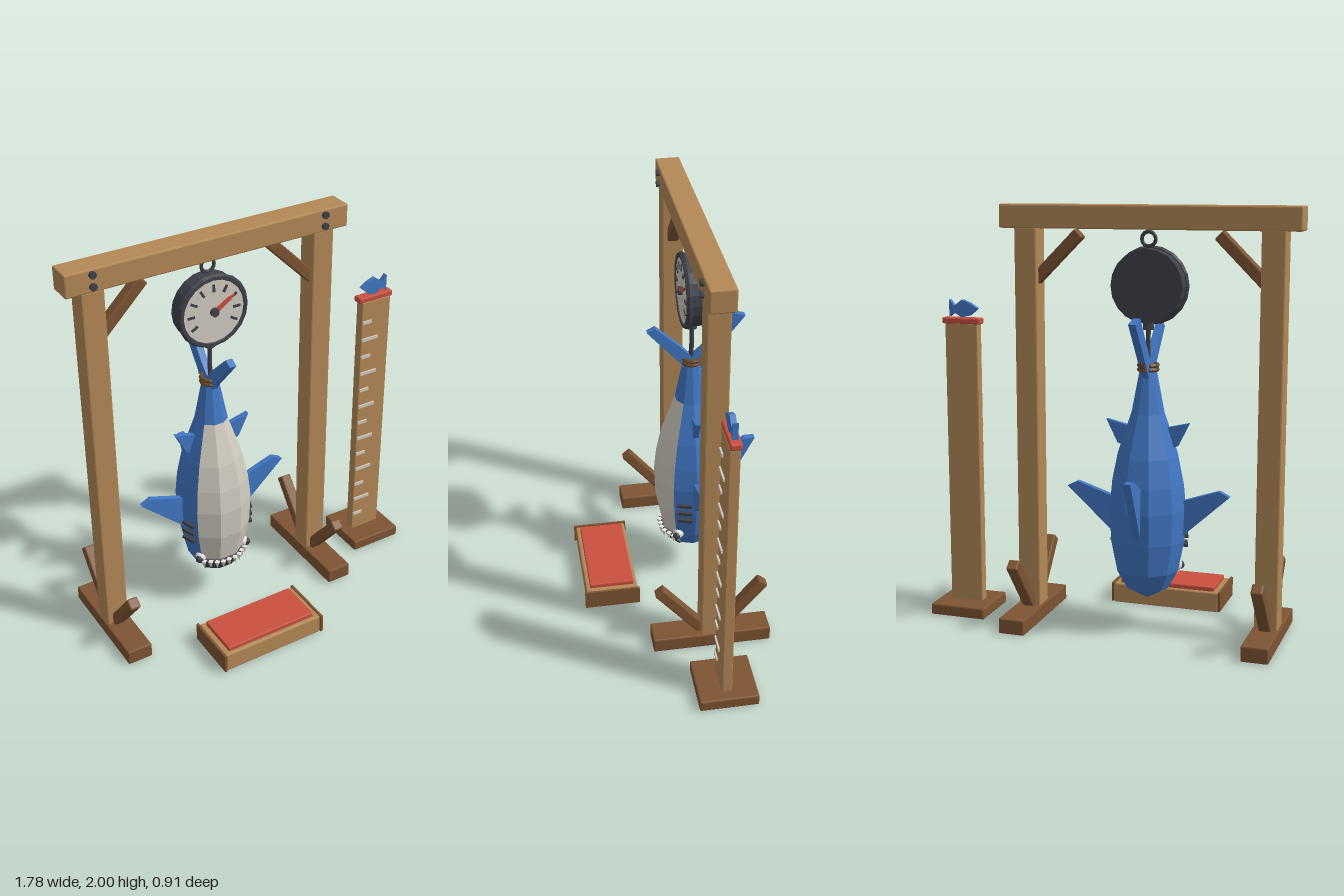
import * as THREE from 'three';
import { RoundedBoxGeometry } from 'three/addons/geometries/RoundedBoxGeometry.js';

const mat = (name, color, double = false) => {
  const m = new THREE.MeshStandardMaterial({ color, flatShading: true });
  m.name = name;
  if (double) m.side = THREE.DoubleSide;
  return m;
};

export function createModel() {
  const wood = mat('wood', 0xb38856), darkWood = mat('dark wood', 0x7d5432);
  const blue = mat('blue skin', 0x4177c4), cream = mat('cream', 0xd0cbc0);
  const dark = mat('dark metal', 0x40414a, true), red = mat('red', 0xc9503f);
  const white = mat('white', 0xf0eee6), rope = mat('rope', 0x6a4a30);

  const CX = -0.18, CZ = -0.13; // centre line of the frame and the fish
  const model = new THREE.Group();
  model.name = 'fishWeighingStand';

  const add = (name, geo, material, x = 0, y = 0, z = 0, parent = model) => {
    const m = new THREE.Mesh(geo, material);
    m.name = name;
    m.position.set(x, y, z);
    parent.add(m);
    return m;
  };
  // Box given by its limits, with a small bevel
  const box = (name, material, x0, x1, y0, y1, z0, z1, r = 0.007) => {
    const s = [x1 - x0, y1 - y0, z1 - z0];
    const geo = r ? new RoundedBoxGeometry(...s, 1, r) : new THREE.BoxGeometry(...s);
    return add(name, geo, material, (x0 + x1) / 2, (y0 + y1) / 2, (z0 + z1) / 2);
  };
  // Square bar between two points
  const bar = (name, material, a, b, t) => {
    const p = new THREE.Vector3(...a), q = new THREE.Vector3(...b);
    const d = q.clone().sub(p), mid = p.clone().add(q).multiplyScalar(0.5);
    const m = add(name, new RoundedBoxGeometry(t, d.length(), t, 1, 0.007), material, mid.x, mid.y, mid.z);
    m.quaternion.setFromUnitVectors(new THREE.Vector3(0, 1, 0), d.normalize());
    return m;
  };
  // Flat plate from an outline, centred on its thickness
  const plate = (pts, t) => {
    const shape = new THREE.Shape(pts.map(p => new THREE.Vector2(...p)));
    return new THREE.ExtrudeGeometry(shape, { depth: t, bevelEnabled: false }).translate(0, 0, -t / 2);
  };

  // Frame
  box('topBeam', wood, -0.89, 0.53, 1.89, 2, -0.19, -0.07);
  for (const s of [-1, 1]) {
    const x = CX + s * 0.583;
    box('post', wood, x - 0.055, x + 0.055, 0.05, 1.895, CZ - 0.052, CZ + 0.055);
    box('foot', darkWood, x - 0.064, x + 0.064, 0, 0.075, CZ - 0.29, CZ + 0.29);
    for (const f of [-1, 1])
      bar('footBrace', darkWood, [x, 0.05, CZ + f * 0.02], [x, 0.335, CZ + f * 0.255], 0.055);
    bar('cornerBrace', darkWood, [CX + s * 0.56, 1.64, CZ], [CX + s * 0.33, 1.87, CZ], 0.055);
    for (const y of [1.92, 1.975])
      add('bolt', new THREE.CylinderGeometry(0.017, 0.017, 0.03, 8).rotateX(Math.PI / 2), dark, x, y, -0.07);
  }

  // Dial scale
  const disc = (r, t, n = 20) => new THREE.CylinderGeometry(r, r, t, n).rotateX(Math.PI / 2);
  const DY = 1.635, FZ = -0.085;
  add('dialCase', disc(0.17, 0.08), dark, CX, DY, CZ);
  add('dialRim', new THREE.TorusGeometry(0.166, 0.016, 6, 20), dark, CX, DY, FZ - 0.005);
  add('dialFace', disc(0.155, 0.008), cream, CX, DY, FZ);
  for (let i = 0; i < 9; i++) {
    const a = (-30 + i * 30) * Math.PI / 180;
    const t = add('dialTick', new THREE.BoxGeometry(0.036, 0.011, 0.008), dark,
      CX + Math.cos(a) * 0.118, DY + Math.sin(a) * 0.118, FZ + 0.006);
    t.rotation.z = a;
  }
  const needle = add('needle', plate([[0, -0.011], [0.09, -0.009], [0.125, 0], [0.09, 0.009], [0, 0.011]], 0.008),
    red, CX, DY, FZ + 0.01);
  needle.rotation.z = 0.56;
  add('needleHub', disc(0.021, 0.025, 10), dark, CX, DY, FZ + 0.008);
  add('hangingRing', new THREE.TorusGeometry(0.033, 0.009, 6, 14), dark, CX, 1.847, CZ);
  add('hookCollar', new THREE.CylinderGeometry(0.026, 0.026, 0.03, 8), dark, CX, 1.45, CZ);
  add('hookRod', new THREE.CylinderGeometry(0.011, 0.011, 0.2, 8), dark, CX, 1.36, CZ);

  // Hanging fish, nose down
  const fish = new THREE.Group();
  fish.name = 'fish';
  fish.position.set(CX, 0, CZ);
  model.add(fish);
  const SIDES = 10;
  const at = ([y, r], k) => {
    const a = k * Math.PI * 2 / SIDES;
    return [Math.cos(a) * r, y, Math.sin(a) * r];
  };
  // Strips of a ten-sided skin between rings of [height, radius]
  const skin = (rings, faces) => {
    const pos = [];
    for (let i = 0; i < rings.length - 1; i++) for (const k of faces) {
      const a = at(rings[i], k), b = at(rings[i], k + 1), c = at(rings[i + 1], k + 1), d = at(rings[i + 1], k);
      pos.push(...a, ...b, ...c);
      if (rings[i + 1][1] > 0) pos.push(...a, ...c, ...d);
    }
    const g = new THREE.BufferGeometry();
    g.setAttribute('position', new THREE.Float32BufferAttribute(pos, 3));
    g.computeVertexNormals();
    return g;
  };
  const rings = [[1.27, 0.037], [1.05, 0.08], [0.85, 0.148], [0.72, 0.175], [0.6, 0.187],
    [0.45, 0.18], [0.3, 0.15], [0.21, 0.1], [0.155, 0]];
  const front = [1, 2, 3], back = [4, 5, 6, 7, 8, 9, 0];
  add('back', skin(rings, back), blue, 0, 0, 0, fish);
  add('tailBase', skin(rings.slice(0, 2), front), blue, 0, 0, 0, fish);
  add('belly', skin(rings.slice(1), front), cream, 0, 0, 0, fish);
  add('mouth', skin([[0.292, 0.135], [0.285, 0.162], [0.214, 0.118], [0.207, 0.085]], front), dark, 0, 0, 0, fish);
  for (const k of front) for (let i = 0; i < 3; i++) {
    const p = at([0.268, 0.161], k), q = at([0.268, 0.161], k + 1), t = (i + 0.5) / 3;
    add('tooth', new THREE.ConeGeometry(0.016, 0.042, 4).rotateX(Math.PI), white,
      p[0] + (q[0] - p[0]) * t, 0.268, p[2] + (q[2] - p[2]) * t, fish);
  }

  // Paired fins, eyes and gills
  for (const s of [-1, 1]) {
    const fin = (name, pts, t) => add(name, plate(pts.map(([x, y]) => [s * x, y]), t), blue, 0, 0, 0, fish);
    fin('pectoralFin', [[0.13, 0.645], [0.165, 0.64], [0.345, 0.7], [0.395, 0.675], [0.18, 0.48], [0.13, 0.48]], 0.03);
    fin('pelvicFin', [[0.06, 0.98], [0.095, 0.985], [0.2, 1.01], [0.145, 0.9], [0.09, 0.88]], 0.025);
    add('eye', new THREE.SphereGeometry(0.028, 10, 8), white, s * 0.122, 0.305, 0.08, fish);
    add('pupil', new THREE.SphereGeometry(0.02, 8, 6), dark, s * 0.137, 0.302, 0.092, fish);
    for (const y of [0.42, 0.465, 0.51]) {
      const g = add('gill', new THREE.BoxGeometry(0.022, 0.014, 0.075), dark, s * 0.17, y, 0.056, fish);
      g.rotation.y = -s * Math.PI / SIDES;
    }
  }

  // Fins on the centre plane, outlines as [depth, height]
  const midFin = (name, pts) => add(name, plate(pts, 0.034).rotateY(-Math.PI / 2), blue, 0, 0, 0, fish);
  midFin('dorsalFin', [[-0.13, 0.72], [-0.165, 0.72], [-0.275, 0.78], [-0.325, 0.78], [-0.17, 0.48], [-0.12, 0.48]]);
  midFin('tailFin', [[0, 1.28], [-0.05, 1.33], [-0.18, 1.505], [-0.255, 1.485], [-0.07, 1.25], [-0.02, 1.18],
    [0.02, 1.18], [0.055, 1.25], [0.215, 1.43], [0.175, 1.45], [0.055, 1.34]]);

  // Rope around the tail
  for (const y of [1.252, 1.272])
    add('ropeLoop', new THREE.TorusGeometry(0.044, 0.01, 6, 12).rotateX(Math.PI / 2), rope, 0, y, 0, fish);
  const knot = add('ropeKnot', new THREE.CylinderGeometry(0.015, 0.015, 0.05, 6), rope, 0, 1.275, -0.09, fish);
  knot.rotation.x = -0.4;

  // Measuring board with a small fish on top
  box('boardBase', darkWood, 0.61, 0.89, 0, 0.055, -0.272, 0.01);
  box('measuringBoard', wood, 0.667, 0.835, 0.05, 1.435, -0.152, -0.103, 0.005);
  box('boardCap', red, 0.652, 0.848, 1.43, 1.46, -0.157, -0.105);
  for (let i = 0; i < 13; i++) {
    const y = 0.155 + i * 0.0975, long = i % 2;
    box('measureMark', cream, 0.67, long ? 0.765 : 0.724, y - 0.008, y + 0.008, -0.105, -0.095, 0);
  }
  add('fishOrnament', plate([[-0.08, 1.505], [-0.04, 1.53], [0, 1.545], [0.04, 1.515], [0.065, 1.545],
    [0.065, 1.463], [0.04, 1.483], [0, 1.46], [-0.04, 1.47]], 0.026), blue, 0.75, 0, CZ);

  // Low step with a red pad
  box('stepBody', wood, -0.45, 0.09, 0, 0.1, 0.185, 0.445);
  box('stepPad', red, -0.422, 0.06, 0.09, 0.122, 0.202, 0.425, 0.005);
  for (const x of [-0.455, 0.095])
    box('stepEnd', darkWood, x - 0.006, x + 0.006, 0.008, 0.104, 0.177, 0.455, 0);

  return model;
}
